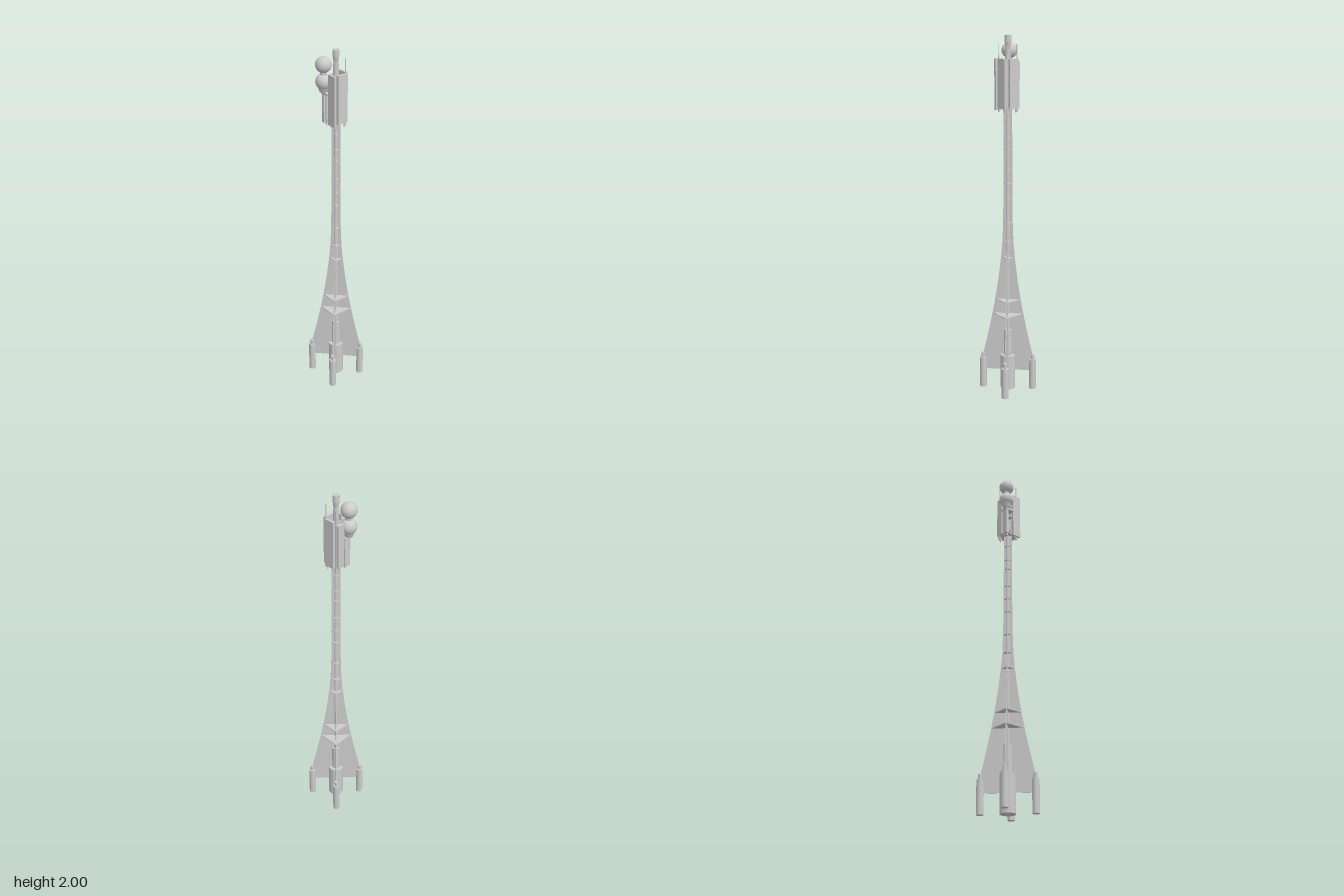
import * as THREE from 'three';

const material = new THREE.MeshStandardMaterial({ color: 0xcccccc, side: THREE.DoubleSide });

function add(parent, name, geometry, x = 0, y = 0, z = 0) {
  const mesh = new THREE.Mesh(geometry, material);
  mesh.name = name;
  mesh.position.set(x, y, z);
  parent.add(mesh);
  return mesh;
}

// upright cylinder from height y0 to y1
function post(parent, name, r, y0, y1, x = 0, z = 0, rTop = r, sides = 24) {
  return add(parent, name, new THREE.CylinderGeometry(rTop, r, y1 - y0, sides), x, (y0 + y1) / 2, z);
}

// box given by its minimum and maximum corners
function block(parent, name, [x0, y0, z0], [x1, y1, z1]) {
  return add(parent, name, new THREE.BoxGeometry(x1 - x0, y1 - y0, z1 - z0),
    (x0 + x1) / 2, (y0 + y1) / 2, (z0 + z1) / 2);
}

// distance of the fin edge along x, by height
const edge = [[0.2, 0.101], [0.33, 0.08], [0.455, 0.062], [0.54, 0.051], [0.66, 0.038],
  [0.79, 0.027], [0.88, 0.0215], [1.0, 0.0185], [1.2, 0.017], [1.62, 0.016], [1.86, 0.015]];

function edgeAt(y) {
  const i = Math.max(1, edge.findIndex(p => p[0] >= y));
  const [a, b] = [edge[i - 1], edge[i]];
  return a[1] + (b[1] - a[1]) * (y - a[0]) / (b[0] - a[0]);
}

export function createModel() {
  const model = new THREE.Group();
  model.name = 'antennaTower';

  // Central stepped base and mast
  post(model, 'baseDrum', 0.042, 0, 0.205, 0, 0, 0.042, 32);
  post(model, 'baseSleeve', 0.023, 0.205, 0.36);
  post(model, 'sleeveCap', 0.012, 0.36, 0.385);
  post(model, 'mast', 0.009, 0.36, 1.96, 0, 0, 0.009, 16);

  // Four diagonal fins tapering into the mast, with feet at their tips
  const profile = new THREE.Shape();
  profile.moveTo(0, 0.11);
  profile.lineTo(0.143, 0.11);
  edge.forEach(([y, x]) => profile.lineTo(x * Math.SQRT2, y));
  profile.lineTo(0, 1.86);
  const finGeometry = new THREE.ExtrudeGeometry(profile, { depth: 0.005, bevelEnabled: false });
  finGeometry.translate(0, 0, -0.0025);
  for (let i = 0; i < 4; i++) {
    const angle = Math.PI / 4 + i * Math.PI / 2;
    add(model, 'fin', finGeometry).rotation.y = angle;
    const x = 0.101 * Math.sign(Math.cos(angle)), z = -0.101 * Math.sign(Math.sin(angle));
    post(model, 'foot', 0.0195, 0, 0.18, x, z);
    post(model, 'footCap', 0.0107, 0.18, 0.21, x, z);
  }

  // Square stiffening plates between the fins
  for (const y of [0.455, 0.54, 0.79, 0.88, 0.99, 1.13, 1.21, 1.29, 1.4, 1.46, 1.55]) {
    const w = 2 * edgeAt(y) - 0.001;
    add(model, 'stiffener', new THREE.BoxGeometry(w, 0.004, w), 0, y, 0);
  }

  // Mast head
  post(model, 'mastCollar', 0.015, 1.84, 1.93);
  post(model, 'mastHead', 0.018, 1.965, 2);
  post(model, 'mastHeadSkirt', 0.011, 1.93, 1.965, 0, 0, 0.017);

  // Panel antennas around the head
  const head = new THREE.Group();
  head.name = 'antennaHead';
  model.add(head);
  block(head, 'frontPanel', [0, 1.61, 0.037], [0.052, 1.88, 0.05]);
  block(head, 'leftPanel', [0.037, 1.62, -0.036], [0.051, 1.88, 0.024]);
  block(head, 'backPanel', [-0.031, 1.62, -0.053], [0.027, 1.88, -0.038]);
  block(head, 'rightPanel', [-0.051, 1.62, -0.036], [-0.037, 1.86, 0.006]);
  block(head, 'sidePanel', [-0.051, 1.61, 0.012], [-0.037, 1.78, 0.05]);

  // Brackets tying the panels to the mast at three levels
  for (const y of [1.64, 1.74, 1.84]) {
    block(head, 'bracketX', [-0.038, y - 0.006, -0.012], [0.038, y + 0.006, 0.004]);
    block(head, 'bracketZ', [-0.008, y - 0.006, -0.039], [0.01, y + 0.006, 0.038]);
  }
  block(head, 'lowerDeck', [-0.038, 1.622, -0.038], [0.038, 1.63, 0.038]);

  // Corner posts, three of them carrying whip aerials
  for (const [x, z] of [[1, 1], [1, -1], [-1, -1], [-1, 1]]) {
    const carriesDome = x < 0 && z > 0;
    post(head, 'cornerPost', 0.0055, 1.6, carriesDome ? 1.77 : 1.86, x * 0.034, z * 0.034, 0.0055, 12);
    if (!carriesDome) post(head, 'whipAerial', 0.003, 1.86, 1.955, x * 0.034, z * 0.034, 0.002, 8);
    // connector stubs under the panels
    post(head, 'connector', 0.003, 1.6, 1.625, x * 0.044, z * 0.02, 0.003, 8);
    post(head, 'connector', 0.003, 1.6, 1.625, x * 0.018, z * 0.044, 0.003, 8);
  }

  // Two stacked spherical domes on a short pedestal
  const domeX = -0.045, domeZ = 0.044;
  post(head, 'domePedestal', 0.02, 1.775, 1.8, domeX, domeZ, 0.03);
  for (const y of [1.83, 1.918]) {
    add(head, 'dome', new THREE.SphereGeometry(0.042, 32, 20), domeX, y, domeZ);
  }
  post(head, 'domeNeck', 0.018, 1.865, 1.885, domeX, domeZ);
  block(head, 'domeArm', [-0.055, 1.765, 0.01], [0, 1.777, 0.054]);

  return model;
}
